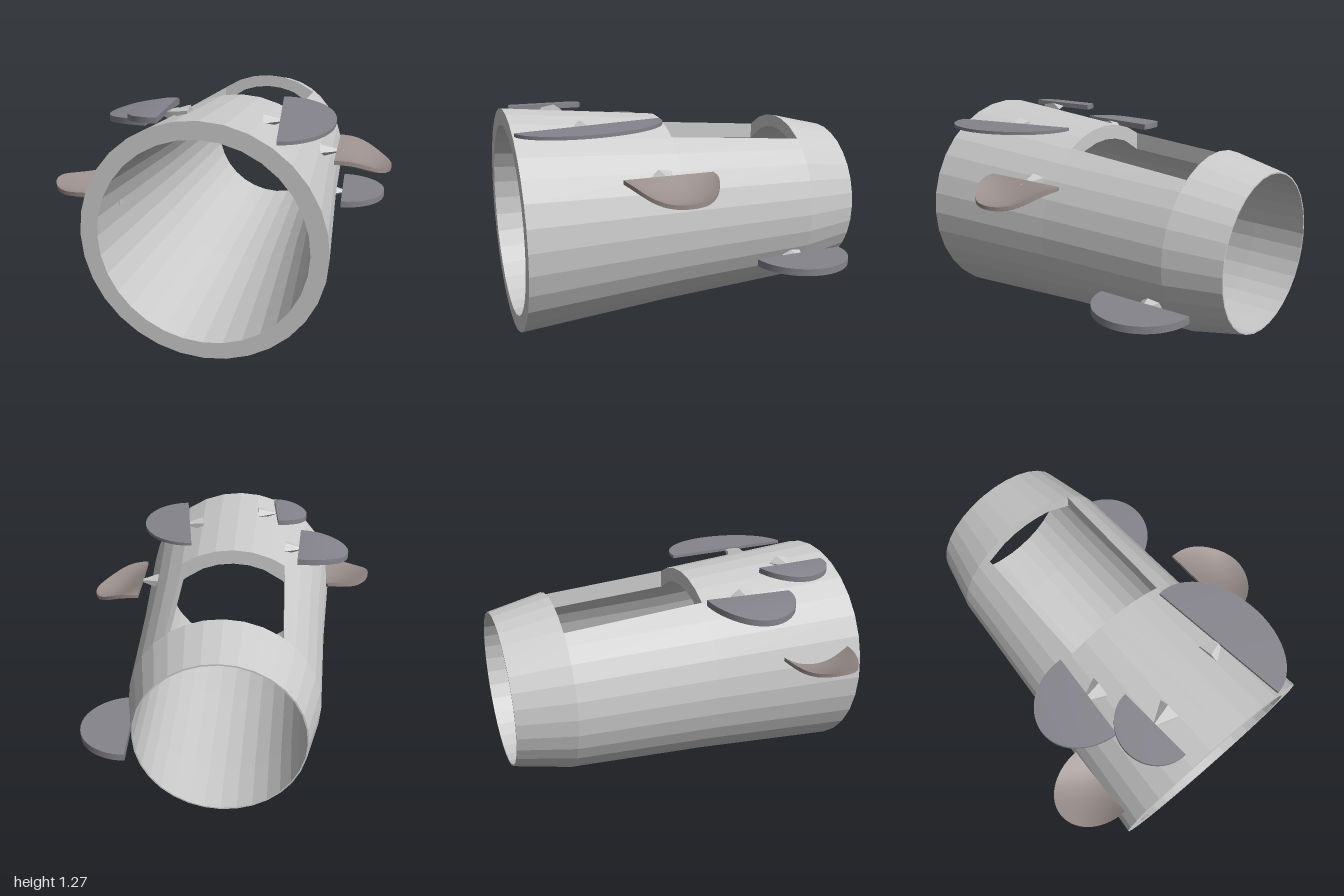
import * as THREE from 'three';
import { toCreasedNormals } from 'three/addons/utils/BufferGeometryUtils.js';

const SEG = 32, STEP = (Math.PI * 2) / SEG, AXIS_Y = 0.642;
const HOLE_X = 0.305, HOLE_FRONT = 0.12, HOLE_BACK = -0.68;

// Surface through rows of points
function grid(rows) {
  const n = rows[0].length, index = [];
  for (let i = 0; i < rows.length - 1; i++)
    for (let j = 0; j < n - 1; j++) {
      const a = i * n + j, b = a + n;
      index.push(a, b, b + 1, a, b + 1, a + 1);
    }
  const geo = new THREE.BufferGeometry();
  geo.setAttribute('position', new THREE.Float32BufferAttribute(rows.flat(2), 3));
  geo.setIndex(index);
  geo.computeVertexNormals();
  return geo;
}

const range = (a, b) => Array.from({ length: b - a + 1 }, (_, i) => (a + i) * STEP);
const edge = (r) => Math.asin(HOLE_X / r);
// Angles of a whole ring, of the arc above the opening and of the arc below it
const whole = () => range(0, SEG);
const arc = (r) => [-edge(r), ...range(-2, 2), edge(r)];
const open = (r) => [edge(r), ...range(4, 28), Math.PI * 2 - edge(r)];
const ring = ([z, r], angles) =>
  angles(r).map((a) => [r * Math.sin(a), AXIS_Y + r * Math.cos(a), z]);

function hollowTrunk() {
  const trunk = new THREE.Group();
  trunk.name = 'hollowTrunk';
  const bark = new THREE.MeshStandardMaterial({
    color: 0xcccccc, flatShading: true, side: THREE.DoubleSide,
  });
  const add = (name, rows) => {
    const mesh = new THREE.Mesh(grid(rows), bark);
    mesh.name = name;
    trunk.add(mesh);
  };
  // [z, radius] stations of the outer and inner walls
  const out = { front: [1, 0.637], hf: [HOLE_FRONT, 0.565], hb: [HOLE_BACK, 0.517], back: [-1, 0.445] };
  const inn = { front: [1, 0.545], hf: [HOLE_FRONT, 0.48], hb: [HOLE_BACK, 0.443], back: [-1, 0.437] };
  const rows = (angles, ...stations) => stations.map((s) => ring(s, angles));

  add('frontTrunk', rows(whole, out.hf, out.front, inn.front, inn.hf));
  add('backTrunk', rows(whole, inn.hb, inn.back, out.back, out.hb));
  add('middleOuterWall', rows(open, out.hb, out.hf));
  add('middleInnerWall', rows(open, inn.hf, inn.hb));
  add('openingFrontEdge', rows(arc, inn.hf, out.hf));
  add('openingBackEdge', rows(arc, out.hb, inn.hb));
  // Straight side edges of the opening
  for (const s of [1, -1]) {
    const p = ([z, r]) => [s * HOLE_X, AXIS_Y + r * Math.cos(edge(r)), z];
    add(s > 0 ? 'openingLeftEdge' : 'openingRightEdge',
      [[p(out.hb), p(inn.hb)], [p(out.hf), p(inn.hf)]]);
  }
  return trunk;
}

// Half-disc bracket: u runs outward from the trunk, w along it
function capGeometry(depth, half, thick, height) {
  const rows = [];
  const N = 28, M = 10;
  for (let i = 0; i <= N; i++) {
    const t = (i / N - 0.5) * Math.PI, w = Math.sin(t), reach = Math.cos(t);
    const top = [], bottom = [];
    for (let j = 0; j <= M; j++) {
      const u = (reach * j) / M;
      const y = height(u, w);
      top.push([u * depth, y, w * half]);
      bottom.unshift([u * depth, y - thick, w * half]);
    }
    rows.push([...top, ...bottom, top[0]]);
  }
  return toCreasedNormals(grid(rows), 0.7);
}

function bracketFungus({ name, at, yaw, depth, half, thick, height, color, stem }) {
  const fungus = new THREE.Group();
  fungus.name = name;
  fungus.position.set(...at);
  fungus.rotation.y = yaw;
  const cap = new THREE.Mesh(
    capGeometry(depth, half, thick, height),
    new THREE.MeshStandardMaterial({ color }),
  );
  cap.name = 'cap';
  // Small pointed foot reaching back into the trunk
  const foot = new THREE.Mesh(
    new THREE.ConeGeometry(0.07, 0.13, 5).rotateZ(-Math.PI / 2).scale(1, 0.55, 1),
    new THREE.MeshStandardMaterial({ color: 0xcccccc, flatShading: true }),
  );
  foot.name = 'foot';
  foot.position.set(stem, height(0, 0) - thick / 2 - 0.01, 0);
  fungus.add(cap, foot);
  return fungus;
}

export function createModel() {
  const model = new THREE.Group();
  model.name = 'hollowLog';
  model.add(hollowTrunk());

  const ribbed = 0x86848c, banded = 0x9a8f8c;
  const flat = (slope) => (u) => -slope * u * u;
  const fungi = [
    { name: 'upperLeftFungus', at: [0.315, 1.213, 0.59], yaw: 0.137, depth: 0.285, half: 0.41,
      thick: 0.018, height: (u, w) => -0.01 * w, color: ribbed, stem: -0.02 },
    { name: 'upperRightFungus', at: [-0.395, 1.16, 0.365], yaw: Math.PI - 0.06, depth: 0.305, half: 0.25,
      thick: 0.034, height: flat(0.033), color: ribbed, stem: -0.02 },
    { name: 'topRightFungus', at: [-0.245, 1.262, 0.715], yaw: Math.PI + 0.07, depth: 0.2, half: 0.215,
      thick: 0.03, height: flat(0.022), color: ribbed, stem: -0.05 },
    { name: 'lowerRightShell', at: [-0.6, 0.84, 0.71], yaw: Math.PI, depth: 0.28, half: 0.21,
      thick: 0.022, height: (u, w) => -0.075 * Math.cos((u * Math.PI) / 2) * (1 - w * w),
      color: banded, stem: -0.02 },
    { name: 'middleLeftShell', at: [0.575, 0.965, 0.235], yaw: 0.04, depth: 0.3, half: 0.255,
      thick: 0.022, height: (u, w) => -0.01 * u - 0.09 * Math.sin(u * 2.2) * (1 - w * w),
      color: banded, stem: -0.03 },
    { name: 'lowerLeftFungus', at: [0.54, 0.428, -0.59], yaw: 0.06, depth: 0.28, half: 0.278,
      thick: 0.04, height: () => 0, color: ribbed, stem: -0.02 },
  ];
  for (const f of fungi) model.add(bracketFungus(f));
  return model;
}
